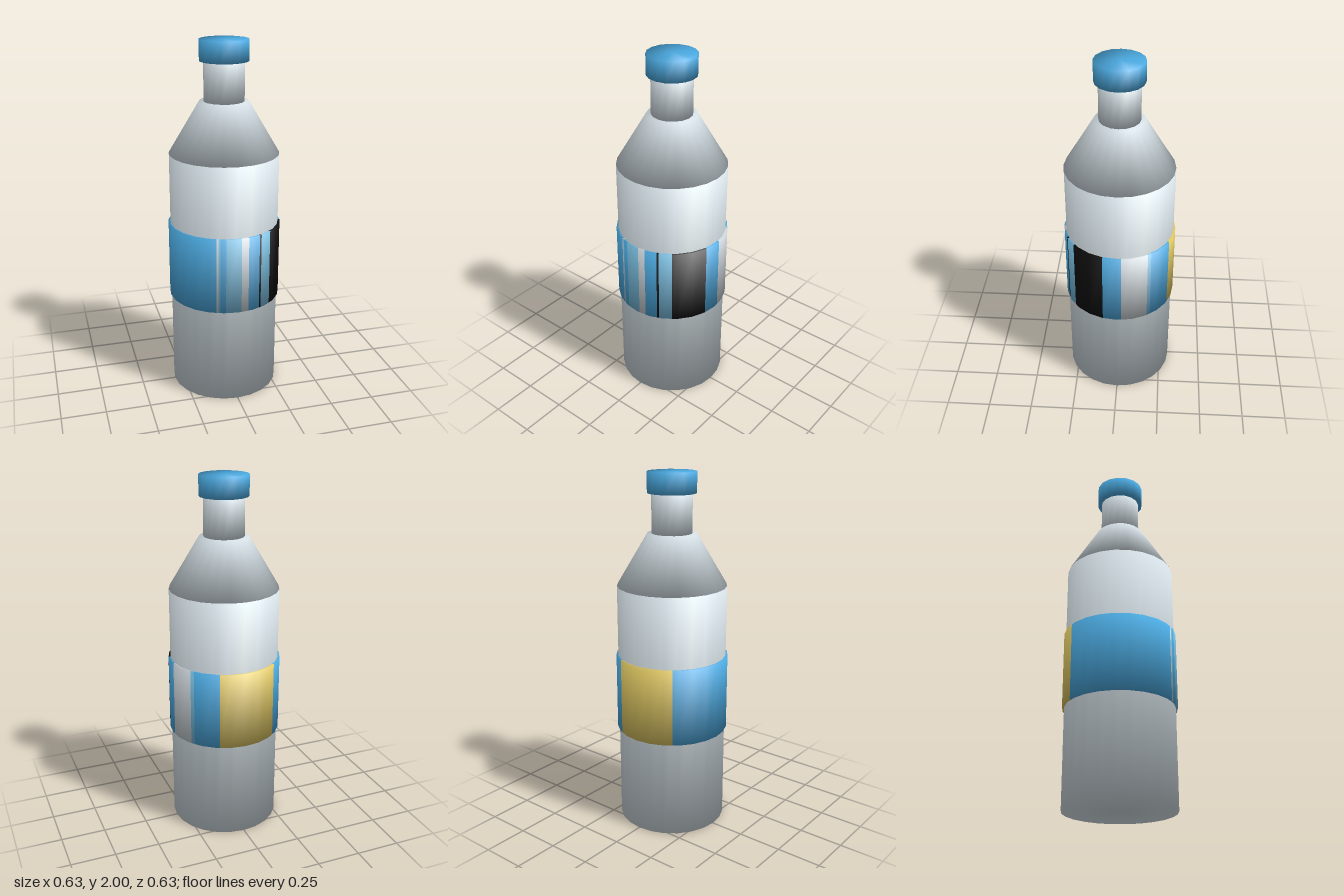
import * as THREE from 'three';

const mat = (name, color) => {
  const m = new THREE.MeshStandardMaterial({ color });
  m.name = name;
  return m;
};

// Closed frustum whose shading normals are softened across the rims
function softFrustum(rTop, rBottom, y0, y1, sides) {
  const h = y1 - y0;
  const geo = new THREE.CylinderGeometry(rTop, rBottom, h, sides);
  const p = geo.attributes.position, n = geo.attributes.normal;
  const v = new THREE.Vector3();
  for (let i = 0; i < p.count; i++) {
    const r = Math.hypot(p.getX(i), p.getZ(i));
    if (r < 1e-4) continue; // cap centres stay vertical
    v.set(p.getX(i) / r * h, rBottom - rTop, p.getZ(i) / r * h).normalize();
    v.y += Math.sign(p.getY(i));
    v.normalize();
    n.setXYZ(i, v.x, v.y, v.z);
  }
  geo.translate(0, (y0 + y1) / 2, 0);
  return geo;
}

// Slice of a 24-sided sleeve between two angles in degrees (0 = front, 90 = left)
function sleeveSlice(from, to, rOut, rIn, y0, y1) {
  const step = 15, angles = [from];
  for (let a = Math.floor(from / step) * step + step; a < to; a += step) angles.push(a);
  angles.push(to);
  const pos = [], nor = [], index = [];
  const c = Math.SQRT1_2;
  const rad = THREE.MathUtils.degToRad;
  // cross-section: radius, height, normal outward, normal up
  const section = [[rIn, y0, 0, -1], [rOut, y0, c, -c], [rOut, y1, c, c], [rIn, y1, 0, 1]];
  angles.forEach((a, i) => {
    const offset = a - (Math.floor(a / step) + 0.5) * step;
    const flat = Math.cos(rad(step / 2)) / Math.cos(rad(offset));
    const s = Math.sin(rad(a)), k = Math.cos(rad(a));
    for (const [r, y, no, nu] of section) {
      pos.push(r * flat * s, y, r * flat * k);
      nor.push(no * s, nu, no * k);
    }
    if (i === 0) return;
    for (let j = 0; j < 3; j++) {
      const b = i * 4 + j, d = b - 4;
      index.push(d, b, b + 1, d, b + 1, d + 1);
    }
  });
  const geo = new THREE.BufferGeometry();
  geo.setAttribute('position', new THREE.Float32BufferAttribute(pos, 3));
  geo.setAttribute('normal', new THREE.Float32BufferAttribute(nor, 3));
  geo.setIndex(index);
  return geo;
}

export function createModel() {
  const model = new THREE.Group();
  model.name = 'bottle';
  const plastic = mat('pale grey plastic', 0xd2dde3);
  const blue = mat('blue', 0x4aa8de);
  const lightBlue = mat('light blue', 0x76bbdd);
  const silver = mat('label silver', 0xcbd3d8);
  const black = mat('black', 0x0c0c0c);
  const yellow = mat('yellow', 0xdcc562);

  const add = (parent, name, geo, material) => {
    const mesh = new THREE.Mesh(geo, material);
    mesh.name = name;
    parent.add(mesh);
  };

  // Bottle
  add(model, 'body', softFrustum(0.305, 0.305, 0, 1.387, 24), plastic);
  add(model, 'shoulder', softFrustum(0.135, 0.305, 1.387, 1.673, 24), plastic);
  add(model, 'neck', softFrustum(0.112, 0.112, 1.673, 1.89, 16), plastic);
  add(model, 'cap', softFrustum(0.135, 0.135, 1.887, 2, 16), blue);

  // Label: upright bands, each running from its angle to the next one's
  const label = new THREE.Group();
  label.name = 'label';
  model.add(label);
  const bands = [
    [-141, blue], [-22.4, silver], [-20.5, lightBlue], [-18.5, blue], [-12.8, lightBlue],
    [3, silver], [10.6, blue], [23.4, black], [25.6, lightBlue], [38.8, black],
    [75.5, blue], [94.7, silver], [122.5, lightBlue], [126.5, blue], [154, yellow], [219, null],
  ];
  for (let i = 0; i < bands.length - 1; i++) {
    const [from, material] = bands[i];
    add(label, 'labelBand' + (i + 1),
      sleeveSlice(from, bands[i + 1][0], 0.316, 0.3, 0.556, 0.99), material);
  }
  return model;
}
